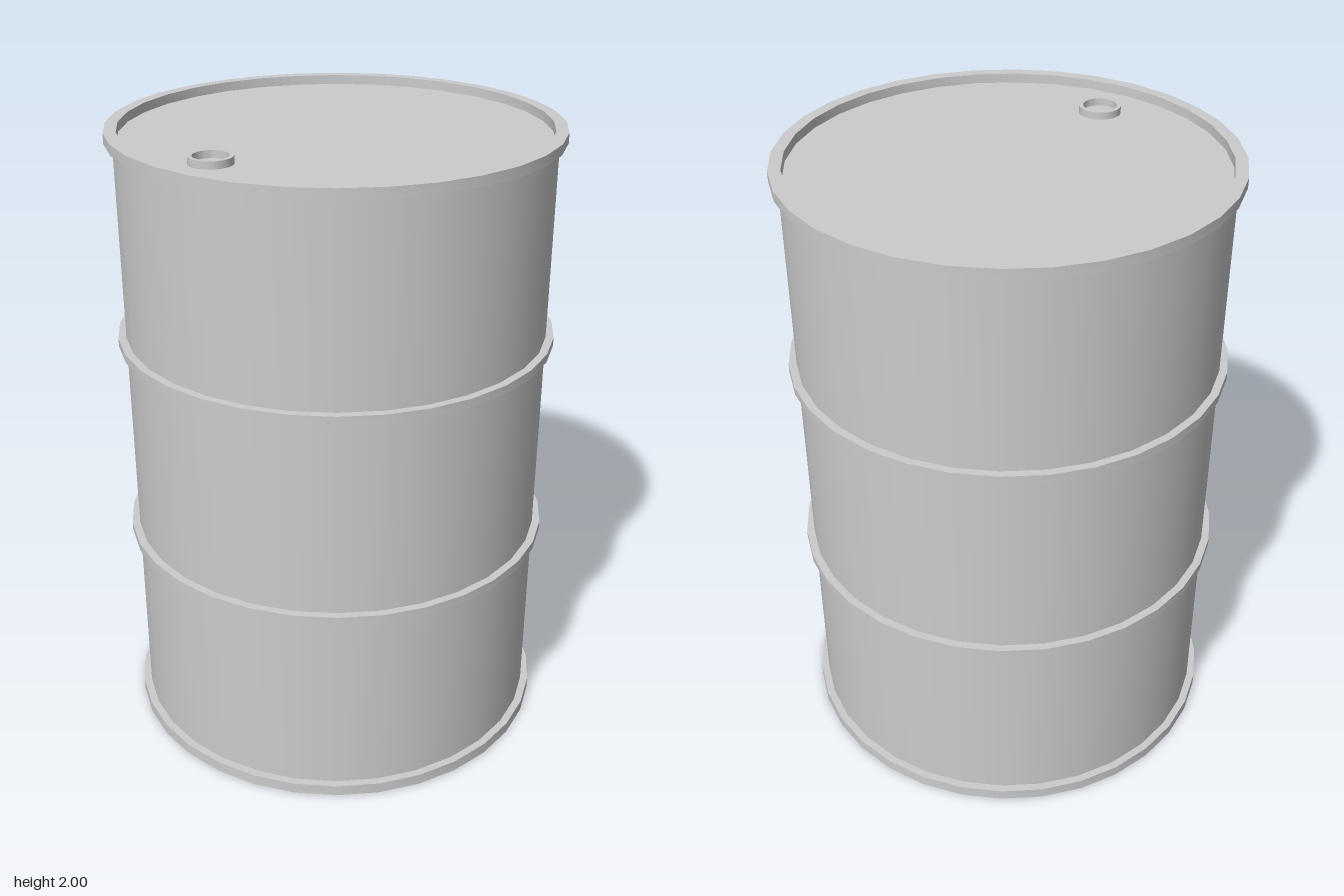
import * as THREE from 'three';
import { toCreasedNormals } from 'three/addons/utils/BufferGeometryUtils.js';

const SIDES = 32;

export function createModel() {
  const group = new THREE.Group();
  const material = new THREE.MeshStandardMaterial({ color: 0xcccccc });

  // Rectangular-section ring around the y axis, with sharp edges
  function addRing(name, inner, outer, y0, y1, x = 0) {
    const profile = [[inner, y0], [outer, y0], [outer, y1], [inner, y1], [inner, y0]]
      .map(([r, y]) => new THREE.Vector2(r, y));
    const geometry = toCreasedNormals(new THREE.LatheGeometry(profile, SIDES), Math.PI / 6);
    const mesh = new THREE.Mesh(geometry, material);
    mesh.name = name;
    mesh.position.x = x;
    group.add(mesh);
  }

  // Drum wall with recessed lid and base
  const body = new THREE.Mesh(new THREE.CylinderGeometry(0.67, 0.67, 1.94, SIDES), material);
  body.name = 'body';
  body.position.y = 1;
  group.add(body);

  // End rims and the two rolling hoops
  addRing('bottomRim', 0.657, 0.695, 0, 0.036);
  addRing('lowerHoop', 0.657, 0.695, 0.657, 0.684);
  addRing('upperHoop', 0.657, 0.695, 1.325, 1.352);
  addRing('topRim', 0.657, 0.695, 1.968, 2);

  // Raised collar of the filler hole on the lid
  addRing('fillerCollar', 0.053, 0.066, 1.965, 1.993, -0.495);

  return group;
}
